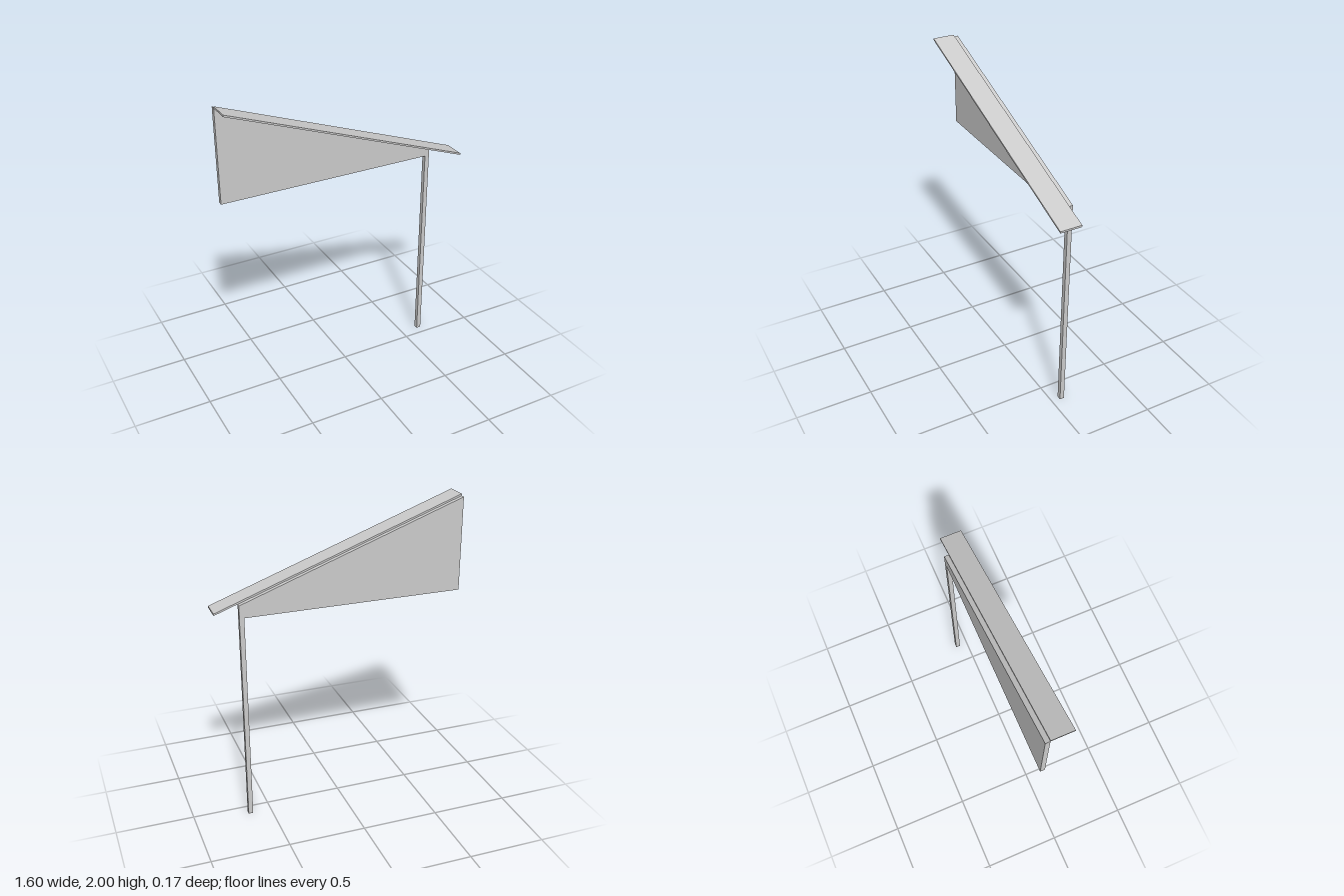
import * as THREE from 'three';

const material = new THREE.MeshStandardMaterial({ color: 0xcccccc, flatShading: true, side: THREE.DoubleSide });

// Flat outline in x/y, given a thickness from z0 to z1
function plate(name, points, z0, z1) {
  const shape = new THREE.Shape(points.map(([x, y]) => new THREE.Vector2(x, y)));
  const geometry = new THREE.ExtrudeGeometry(shape, { depth: z1 - z0, bevelEnabled: false });
  geometry.translate(0, 0, z0);
  const mesh = new THREE.Mesh(geometry, material);
  mesh.name = name;
  return mesh;
}

export function createModel() {
  const group = new THREE.Group();
  group.name = 'slopedCanopy';

  const thickness = 0.012;
  const roofTop = (x) => 1.71 - 0.3625 * x;
  const roofUnder = (x) => roofTop(x) - thickness;

  // Sloping roof strip, in front of the panel
  group.add(plate('roof', [
    [-0.8, roofUnder(-0.8)], [0.8, roofUnder(0.8)], [0.8, roofTop(0.8)], [-0.8, roofTop(-0.8)],
  ], -0.056, 0.086));

  // Tapered side panel running into the slender post
  group.add(plate('panelAndPost', [
    [-0.8, 1.38], [0.622, 1.38], [0.622, 0], [0.652, 0],
    [0.652, roofUnder(0.652)], [-0.8, roofUnder(-0.8)],
  ], -0.086, -0.056));

  return group;
}
